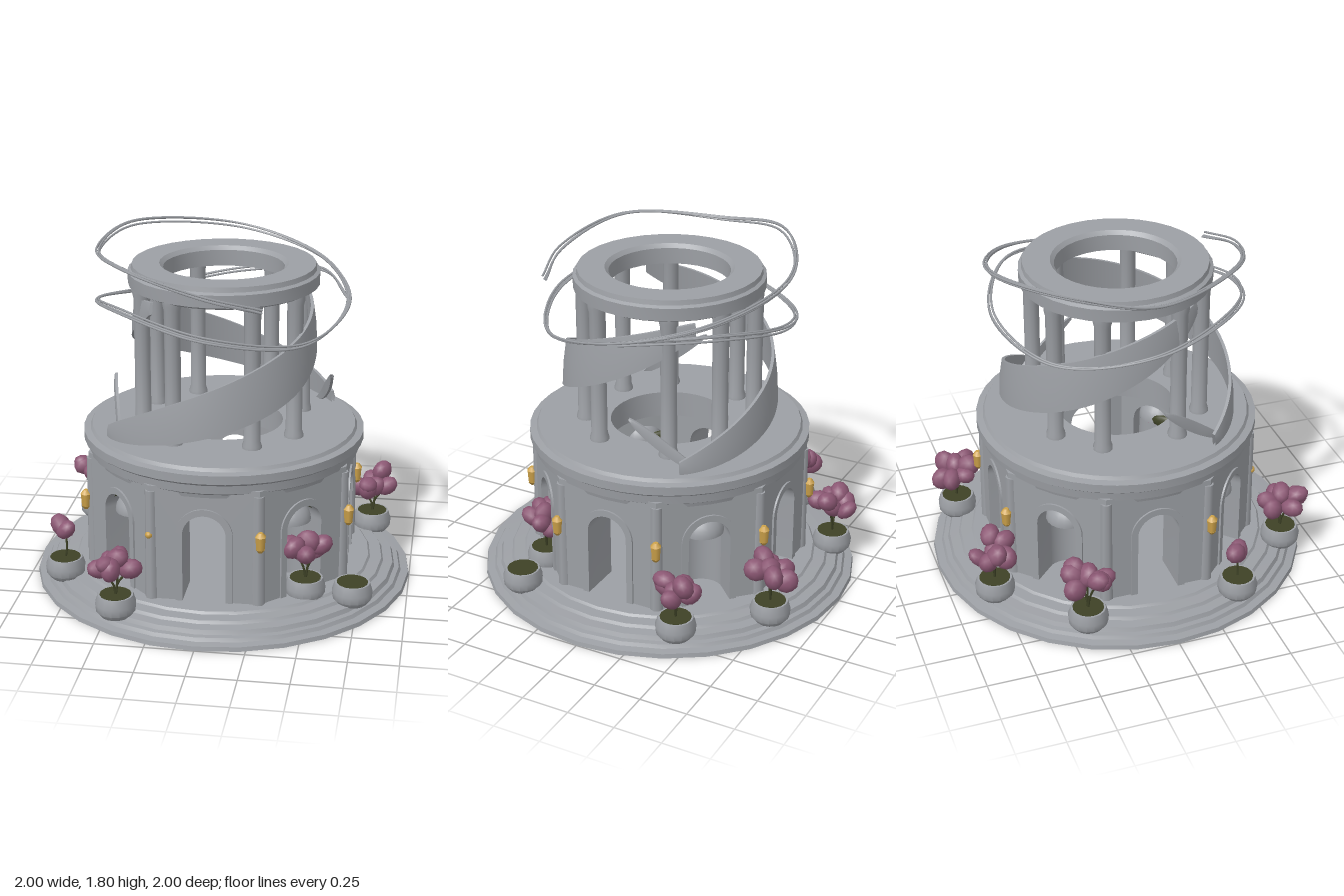
import * as THREE from 'three';
import { toCreasedNormals } from 'three/addons/utils/BufferGeometryUtils.js';

const flat = (name, color, side = THREE.FrontSide) => {
  const m = new THREE.MeshStandardMaterial({ color, side });
  m.name = name;
  return m;
};
const stone = flat('stone', 0x9c9fa4, THREE.DoubleSide);
const blossom = flat('blossom', 0x8c5874);
const moss = flat('moss', 0x3e4226, THREE.DoubleSide);
const gold = flat('gold', 0xcda24a);

function add(parent, name, geometry, material, x = 0, y = 0, z = 0) {
  const mesh = new THREE.Mesh(geometry, material);
  mesh.name = name;
  mesh.position.set(x, y, z);
  parent.add(mesh);
  return mesh;
}

const lathe = (points, segments) => toCreasedNormals(
  new THREE.LatheGeometry(points.map(([r, y]) => new THREE.Vector2(r, y)), segments), 0.6);

// Angle in degrees measured from the front (+z) towards +x
const polar = (deg, r, y) => {
  const a = THREE.MathUtils.degToRad(deg);
  return new THREE.Vector3(r * Math.sin(a), y, r * Math.cos(a));
};

function seeded(seed) {
  return () => {
    seed = (seed * 16807) % 2147483647;
    return seed / 2147483647;
  };
}

// One wall of the octagon with an arched doorway, mitred at both ends
function wallPanel() {
  const w = 0.278, a = 0.11, bottom = 0.09, top = 0.72, spring = 0.465;
  const s = new THREE.Shape();
  s.moveTo(-w, bottom);
  s.lineTo(-a, bottom);
  s.lineTo(-a, spring);
  s.absarc(0, spring, a, Math.PI, 0, true);
  s.lineTo(a, bottom);
  s.lineTo(w, bottom);
  s.lineTo(w, top);
  s.lineTo(-w, top);
  const g = new THREE.ExtrudeGeometry(s, { depth: 0.22, bevelEnabled: false, curveSegments: 16 });
  g.translate(0, 0, 0.45);
  const p = g.attributes.position;
  for (let i = 0; i < p.count; i++) {
    const limit = p.getZ(i) * Math.tan(Math.PI / 8);
    p.setX(i, THREE.MathUtils.clamp(p.getX(i), -limit, limit));
  }
  return toCreasedNormals(g, 0.6);
}

// Raised moulding around a doorway
function archFrame() {
  const o = 0.145, a = 0.11, y = 0.465;
  const s = new THREE.Shape();
  s.moveTo(-o, 0.09);
  s.lineTo(-a, 0.09);
  s.lineTo(-a, y);
  s.absarc(0, y, a, Math.PI, 0, true);
  s.lineTo(a, 0.09);
  s.lineTo(o, 0.09);
  s.lineTo(o, y);
  s.absarc(0, y, o, 0, Math.PI, false);
  const g = new THREE.ExtrudeGeometry(s, { depth: 0.025, bevelEnabled: false, curveSegments: 16 });
  g.translate(0, 0, 0.655);
  return toCreasedNormals(g, 0.6);
}

// Tapered band climbing around the columns; radii are evenly spaced along it
function climbingBand(from, to, y0, y1, half, thick, radii) {
  const radius = new THREE.SplineCurve(radii.map((r, i) => new THREE.Vector2(i, r)));
  const pos = [], index = [], n = 56;
  for (let i = 0; i <= n; i++) {
    const t = i / n;
    const h = half * Math.pow(Math.sin(Math.PI * (0.03 + 0.94 * t)), 0.6);
    const deg = from + (to - from) * t, y = y0 + (y1 - y0) * t;
    const r = radius.getPoint(t).y;
    for (const [sy, sr] of [[-1, 1], [0, 1.6], [1, 1], [1, -1], [-1, -1]]) {
      pos.push(...polar(deg, r + sr * thick / 2 - sy * h * 0.1, Math.max(0.835, y + sy * h)).toArray());
    }
  }
  for (let i = 0; i < n; i++) {
    for (let k = 0; k < 5; k++) {
      const a = i * 5 + k, b = i * 5 + (k + 1) % 5;
      if (to > from) index.push(a, a + 5, b, b, a + 5, b + 5);
      else index.push(a, b, a + 5, b, b + 5, a + 5);
    }
  }
  const g = new THREE.BufferGeometry();
  g.setAttribute('position', new THREE.Float32BufferAttribute(pos, 3));
  g.setIndex(index);
  return toCreasedNormals(g, 0.7);
}

// Potted shrub; size 0 leaves the pot empty
function plant(parent, x, z, size, floor, seed) {
  const g = new THREE.Group();
  g.name = 'planter';
  g.position.set(x, floor, z);
  parent.add(g);
  add(g, 'pot', lathe([[0, 0], [0.075, 0], [0.1, 0.03], [0.104, 0.07], [0.09, 0.115],
    [0.08, 0.115], [0.076, 0.1], [0, 0.1]], 16), stone);
  add(g, 'soil', new THREE.CylinderGeometry(0.08, 0.078, 0.02, 14), moss, 0, 0.106, 0);
  if (!size) return;
  const rand = seeded(seed);
  const count = size > 0.6 ? 7 : 2;
  for (let i = 0; i < count; i++) {
    const a = (i / count) * Math.PI * 2 + rand();
    const d = (i === 0 ? 0.01 : 0.078) * size;
    const tip = new THREE.Vector3(Math.cos(a) * d, 0.275 + (rand() - 0.5) * 0.1 * size, Math.sin(a) * d);
    const petal = add(g, 'blossom', new THREE.IcosahedronGeometry(0.052, 1), blossom, tip.x, tip.y, tip.z);
    petal.scale.set(1.25, 0.75 + rand() * 0.5, 0.95);
    petal.rotation.set(rand() * 0.8, -a, 0.3 + rand() * 0.6);
    if (i % 3) continue;
    const path = new THREE.CatmullRomCurve3([new THREE.Vector3(0, 0.1, 0),
      new THREE.Vector3(0.01 * Math.cos(a), 0.17, 0.01 * Math.sin(a)), tip]);
    add(g, 'stem', new THREE.TubeGeometry(path, 6, 0.006, 5), moss);
  }
}

export function createModel() {
  const model = new THREE.Group();
  model.name = 'roundPavilion';

  // Stepped base
  add(model, 'steppedBase', lathe([[0, 0], [1, 0], [0.995, 0.022], [0.955, 0.027], [0.945, 0.045],
    [0.92, 0.048], [0.91, 0.07], [0.86, 0.075], [0.85, 0.09], [0.79, 0.093], [0.78, 0.105], [0, 0.105]], 28), stone);

  // Octagonal arcade: open doorways alternate with domed niches
  const panel = wallPanel(), frame = archFrame();
  const nicheWall = new THREE.CylinderGeometry(0.112, 0.112, 0.375, 16, 1, true, Math.PI / 2, Math.PI);
  const nicheDome = new THREE.SphereGeometry(0.112, 20, 8, 0, Math.PI * 2, 0, Math.PI / 2);
  const mossClump = new THREE.IcosahedronGeometry(0.045, 1);
  const mossLining = new THREE.CylinderGeometry(0.104, 0.106, 0.085, 10, 1, true, Math.PI - 0.9, 1.8);
  mossLining.rotateX(Math.PI / 2);
  for (let i = 0; i < 8; i++) {
    const side = new THREE.Group();
    side.name = 'arcadeSide';
    side.rotation.y = i * Math.PI / 4;
    model.add(side);
    add(side, 'archedWall', panel, stone);
    add(side, 'archFrame', frame, stone);
    add(side, 'archMoss', mossLining, moss, 0, 0.465, 0.6);
    const c = polar(22.5, 0.705, 0.39);
    add(side, 'cornerPier', new THREE.CylinderGeometry(0.03, 0.035, 0.6, 8), stone, c.x, c.y, c.z);
    if (i % 2 === 0) continue;
    add(side, 'nicheWall', nicheWall, stone, 0, 0.2775, 0.555);
    add(side, 'nicheDome', nicheDome, stone, 0, 0.465, 0.555);
    add(side, 'innerMoss', mossClump, moss, -0.09, 0.5, 0.44).scale.set(1.8, 0.9, 0.5);
  }

  // Cornice and terrace around a central opening
  add(model, 'terrace', lathe([[0.31, 0.7], [0.66, 0.69], [0.68, 0.675], [0.685, 0.695], [0.71, 0.71], [0.715, 0.755],
    [0.735, 0.77], [0.735, 0.815], [0.7, 0.822], [0.69, 0.84], [0.31, 0.84], [0.31, 0.7]], 40), stone);

  // Upper colonnade and crown ring
  const column = lathe([[0.05, 0.83], [0.05, 0.855], [0.042, 0.88], [0.041, 1.2], [0.042, 1.54],
    [0.049, 1.57], [0.049, 1.6]], 12);
  for (const [x, z] of [[0.2, 0.39], [0.39, 0.2]]) {
    for (const sx of [-1, 1]) for (const sz of [-1, 1]) add(model, 'column', column, stone, sx * x, 0, sz * z);
  }
  add(model, 'crownRing', lathe([[0.31, 1.585], [0.46, 1.575], [0.49, 1.59], [0.492, 1.655], [0.475, 1.665],
    [0.47, 1.69], [0.33, 1.69], [0.31, 1.67], [0.31, 1.585]], 32), stone);

  // Two sweeping bands and two small blades, opposite each other
  const band = climbingBand(-58, 134, 0.87, 1.52, 0.13, 0.016, [0.64, 0.58, 0.525, 0.468, 0.445]);
  const blade = climbingBand(132, 97, 0.83, 1.08, 0.035, 0.014, [0.61, 0.57, 0.56]);
  for (const turn of [0, Math.PI]) {
    add(model, 'sweepingBand', band, stone).rotation.y = turn;
    add(model, 'smallBlade', blade, stone).rotation.y = turn;
  }

  // Wavy wire loops around the crown: [angle, height]
  const wire = [[25, 1.61], [0, 1.68], [-40, 1.765], [-90, 1.74], [-125, 1.785], [-180, 1.72], [-225, 1.615],
    [-270, 1.505], [-315, 1.41], [-360, 1.475], [-405, 1.55], [-450, 1.475], [-495, 1.405], [-540, 1.475],
    [-585, 1.55], [-625, 1.51]];
  [[-0.014, -0.01], [0.004, 0.012], [0.016, -0.006]].forEach(([dr, dy], k) => {
    const path = new THREE.CatmullRomCurve3(wire.map(([deg, y], i) =>
      polar(deg, 0.645 + dr * Math.cos(i * 0.9 + k), y + dy * Math.cos(i * 0.7))));
    add(model, 'wireLoop', new THREE.TubeGeometry(path, 160, 0.006, 5), stone);
  });

  // Lanterns at the corners of the arcade
  for (const deg of [22.5, 67.5, 112.5, 157.5, 202.5, 292.5]) {
    const lantern = new THREE.Group();
    lantern.name = 'lantern';
    lantern.position.copy(polar(deg, 0.745, 0.455));
    model.add(lantern);
    add(lantern, 'lanternBody', new THREE.CylinderGeometry(0.028, 0.023, 0.07, 6), gold);
    add(lantern, 'lanternCap', new THREE.CylinderGeometry(0.012, 0.03, 0.022, 6), gold, 0, 0.044, 0);
    add(lantern, 'lanternFoot', new THREE.CylinderGeometry(0.024, 0.01, 0.018, 6), gold, 0, -0.044, 0);
  }
  const stud = polar(337.5, 0.728, 0.455);
  add(model, 'wallStud', new THREE.IcosahedronGeometry(0.02, 1), gold, stud.x, stud.y, stud.z);

  // Planters around the base: x, z, blossom size, floor height
  [[-0.39, -0.79, 1, 0.06], [0.41, -0.79, 1, 0.06], [0.77, -0.44, 1, 0.06], [-0.78, -0.41, 1, 0.06],
    [-0.78, 0.4, 0.5, 0.06], [-0.43, 0.79, 1, 0.06], [0.73, 0.48, 0, 0.06], [0.49, 0.48, 1, 0.07],
  ].forEach(([x, z, size, floor], i) => plant(model, x, z, size, floor, 101 + i * 977));

  return model;
}
